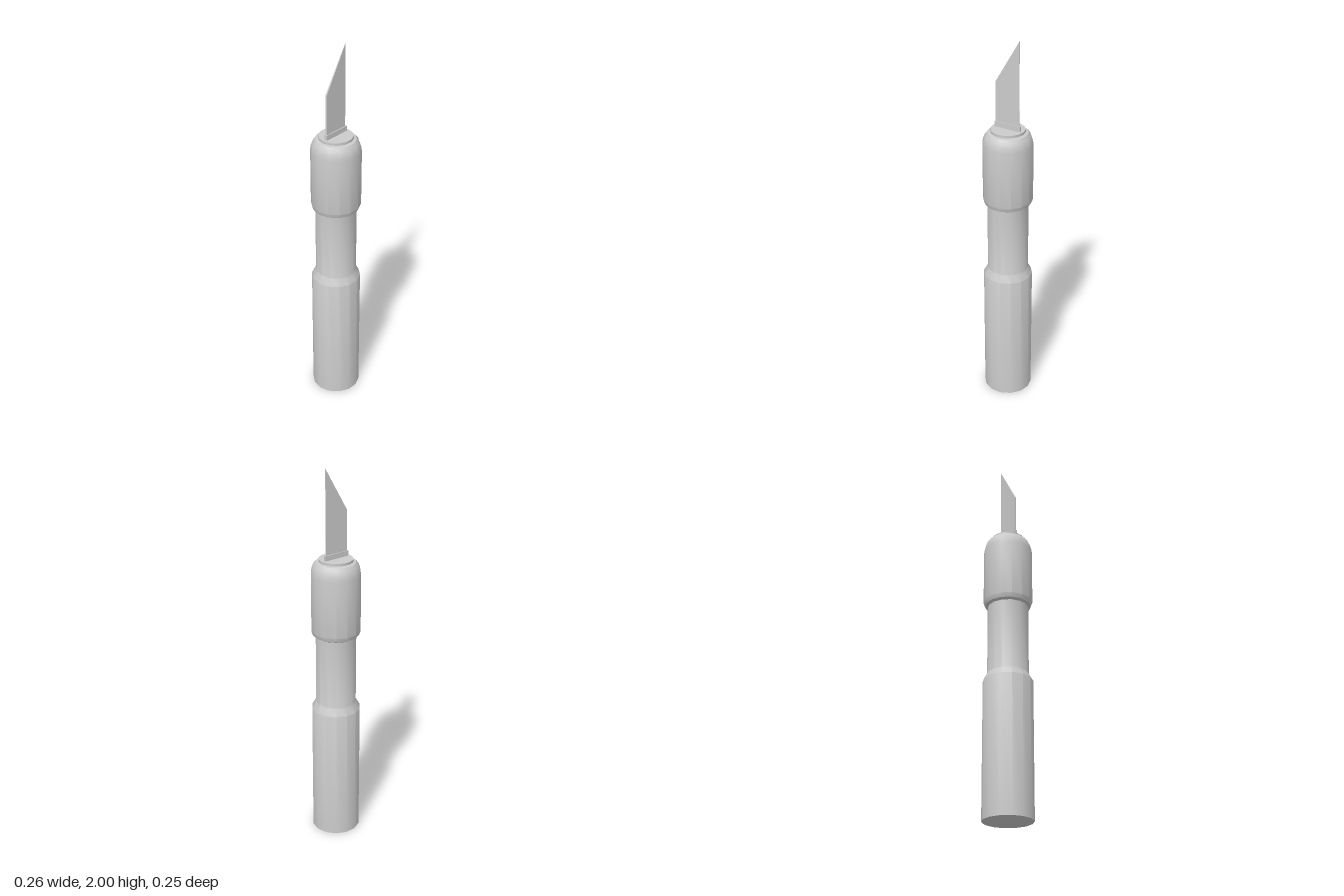
import * as THREE from 'three';
import { toCreasedNormals } from 'three/addons/utils/BufferGeometryUtils.js';

const material = new THREE.MeshStandardMaterial({ color: 0xcccccc });

function part(name, geometry) {
  const mesh = new THREE.Mesh(geometry, material);
  mesh.name = name;
  return mesh;
}

// Fourteen-sided turned part from [radius, height] pairs, listed bottom to top
function turned(name, profile) {
  const points = profile.map(([r, y]) => new THREE.Vector2(r, y));
  const geometry = new THREE.LatheGeometry(points, 14, Math.PI / 2);
  return part(name, toCreasedNormals(geometry, Math.PI / 6));
}

// Upright slab cut from an outline, thinning from the left edge to the right one
function taperedSlab(name, outline, thickLeft, thickRight) {
  const shape = new THREE.Shape(outline.map(([x, y]) => new THREE.Vector2(x, y)));
  const geometry = new THREE.ExtrudeGeometry(shape, { depth: 1, bevelEnabled: false });
  const xs = outline.map(([x]) => x);
  const x0 = Math.min(...xs);
  const x1 = Math.max(...xs);
  const pos = geometry.attributes.position;
  for (let i = 0; i < pos.count; i++) {
    const t = (pos.getX(i) - x0) / (x1 - x0);
    pos.setZ(i, (pos.getZ(i) - 0.5) * THREE.MathUtils.lerp(thickLeft, thickRight, t));
  }
  geometry.computeVertexNormals();
  return part(name, geometry);
}

export function createModel() {
  const model = new THREE.Group();
  model.name = 'craftKnife';

  // Lower handle, narrow grip and rounded head in one turned body
  model.add(turned('handle', [
    [0, 0], [0.128, 0], [0.128, 0.718], [0.106, 0.757],
    [0.106, 1.13], [0.12, 1.138], [0.128, 1.16],
    [0.128, 1.46], [0.124, 1.485], [0.116, 1.507], [0.103, 1.524],
    [0.088, 1.528], [0, 1.528],
  ]));

  // Collar on top of the head
  model.add(turned('collar', [[0.088, 1.52], [0.088, 1.541], [0, 1.541]]));

  // Slim clamp around the foot of the blade
  model.add(taperedSlab('bladeClamp',
    [[-0.073, 1.535], [0.072, 1.535], [0.072, 1.568], [-0.073, 1.568]], 0.017, 0.012));

  // Slanted blade, thicker along its short edge
  model.add(taperedSlab('blade',
    [[-0.068, 1.54], [0.065, 1.54], [0.065, 2], [-0.068, 1.776]], 0.009, 0.002));

  return model;
}
